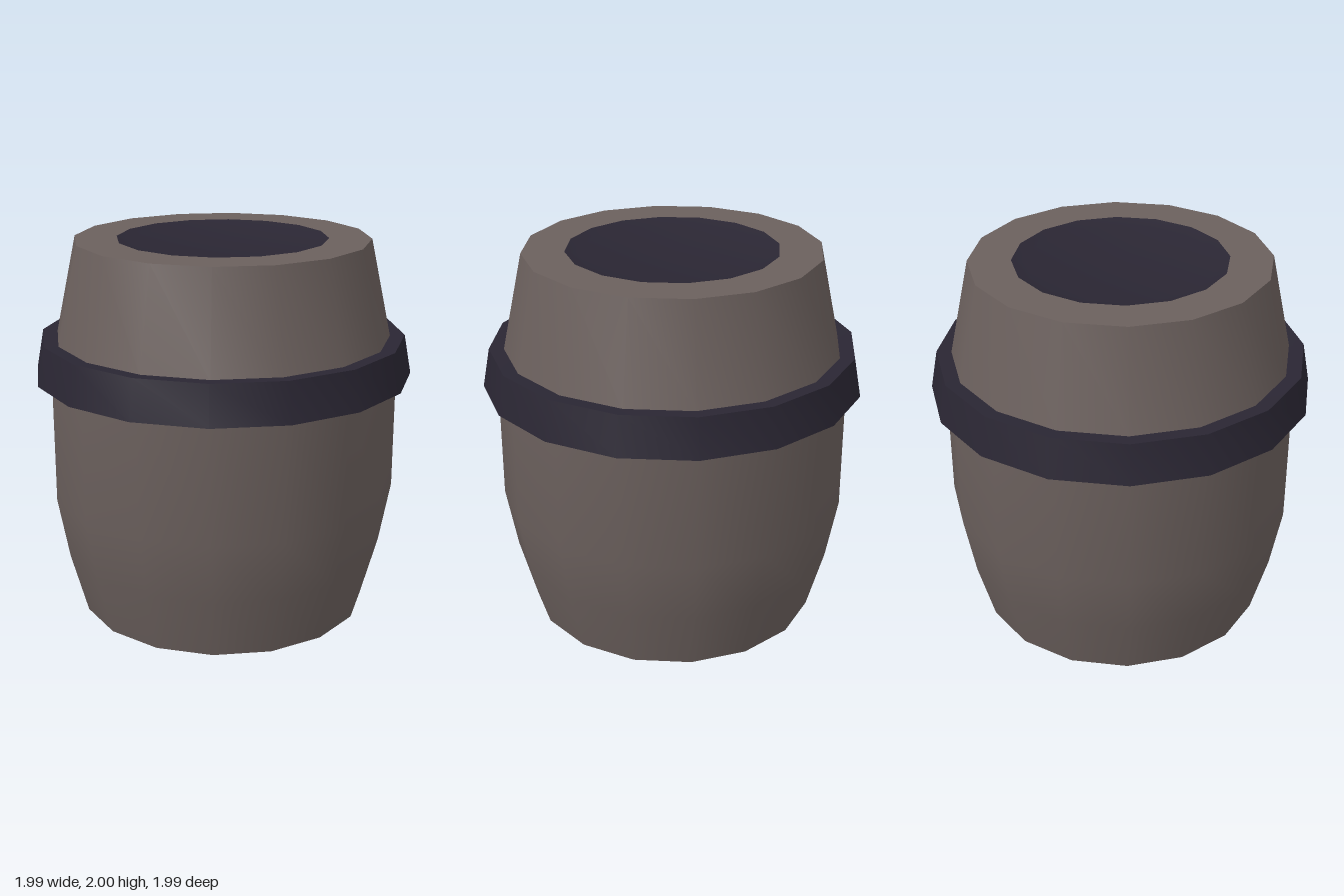
import * as THREE from 'three';
import { toCreasedNormals } from 'three/addons/utils/BufferGeometryUtils.js';

const SIDES = 16;
const shell = new THREE.MeshStandardMaterial({ color: 0x6b605d });
const trim = new THREE.MeshStandardMaterial({ color: 0x2a2633 });

// Turned part: profile of [radius, height], smooth around, sharp at corners
function turned(name, profile, material) {
  const points = profile.map(([r, y]) => new THREE.Vector2(r, y));
  const geometry = toCreasedNormals(new THREE.LatheGeometry(points, SIDES), 0.6);
  const mesh = new THREE.Mesh(geometry, material);
  mesh.name = name;
  return mesh;
}

export function createModel() {
  const model = new THREE.Group();
  model.name = 'barrelContainer';

  // Rounded tub with a closed base
  model.add(turned('body', [[0, 0], [0.77, 0], [0.86, 0.33], [0.92, 0.66], [0.92, 1.29]], shell));

  // Flared collar around the joint
  model.add(turned('collar', [[0.91, 1.275], [0.995, 1.29], [0.957, 1.495], [0.87, 1.49]], trim));

  // Tapered lid with a flat rim
  model.add(turned('lid', [[0.882, 1.48], [0.77, 2], [0.55, 2]], shell));

  // Shallow dished cap in the lid
  model.add(turned('cap', [[0.55, 2], [0.48, 1.98], [0, 1.98]], trim));

  return model;
}
